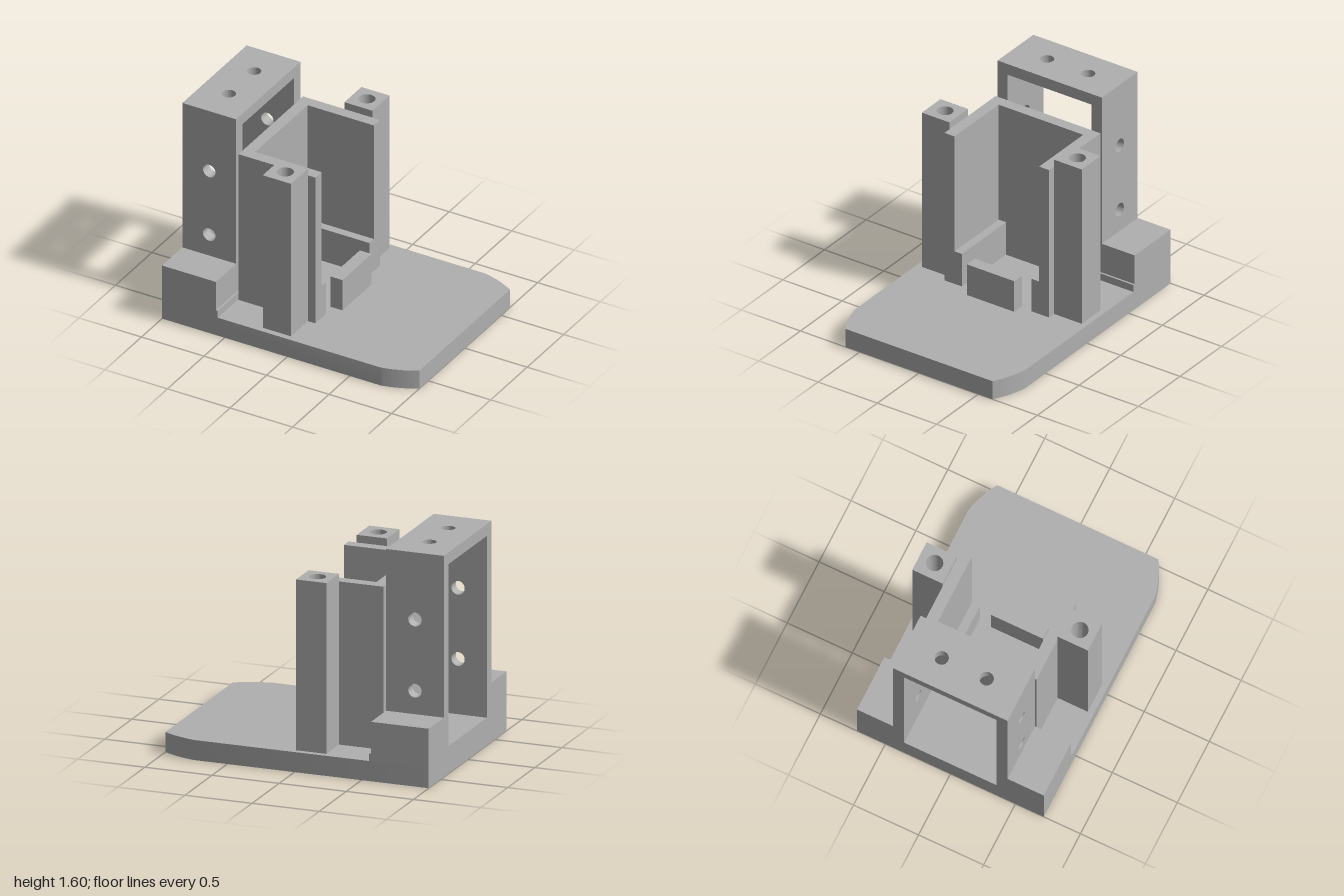
import * as THREE from 'three';
import { toCreasedNormals } from 'three/addons/utils/BufferGeometryUtils.js';

export function createModel() {
  const group = new THREE.Group();
  const grey = new THREE.MeshStandardMaterial({ color: 0xb0b0b0 });
  grey.name = 'matte grey';

  const add = (name, geometry) => {
    const mesh = new THREE.Mesh(geometry, grey);
    mesh.name = name;
    group.add(mesh);
    return mesh;
  };

  // Box given by its two extreme corners
  const block = (name, x0, x1, y0, y1, z0, z1) =>
    add(name, new THREE.BoxGeometry(x1 - x0, y1 - y0, z1 - z0))
      .position.set((x0 + x1) / 2, (y0 + y1) / 2, (z0 + z1) / 2);

  // Rectangle with round holes [x, y, radius]
  const plate = (x0, x1, y0, y1, holes = []) => {
    const s = new THREE.Shape();
    s.moveTo(x0, y0).lineTo(x1, y0).lineTo(x1, y1).lineTo(x0, y1).closePath();
    for (const [x, y, r] of holes) s.holes.push(new THREE.Path().absarc(x, y, r, 0, Math.PI * 2, true));
    return s;
  };
  const extrude = (shape, depth) => toCreasedNormals(
    new THREE.ExtrudeGeometry(shape, { depth, bevelEnabled: false, curveSegments: 20 }), 0.5);
  // Shape drawn in (x, -z), raised from y0 to y1
  const raise = (name, shape, y0, y1) =>
    add(name, extrude(shape, y1 - y0).rotateX(-Math.PI / 2).translate(0, y0, 0));

  const floor = 0.145, W = 0.718;

  // Base plate with two eased corners
  const base = new THREE.Shape();
  base.moveTo(-1, -W).lineTo(0.75, -W);
  base.quadraticCurveTo(0.885, -0.69, 1, -0.62);
  base.lineTo(1, 0.62);
  base.quadraticCurveTo(0.885, 0.69, 0.75, W);
  base.lineTo(-1, W).closePath();
  raise('basePlate', base, 0, floor);

  // Raised step under the arch
  block('archStep', -1, -0.555, floor, 0.2, -W, W);

  // Arch top with two vertical screw holes
  raise('archTop', plate(-1, -0.57, -0.44, 0.44, [[-0.785, 0.173, 0.05], [-0.785, -0.173, 0.05]]), 1.515, 1.6);

  for (const side of [-1, 1]) {
    const span = (name, x0, x1, y0, y1, a, b) =>
      block(name, x0, x1, y0, y1, Math.min(side * a, side * b), Math.max(side * a, side * b));

    // Arch wall with two screw holes
    add('archWall', extrude(plate(-1, -0.57, 0.2, 1.515, [[-0.785, 0.6, 0.05], [-0.785, 1.115, 0.05]]), 0.085))
      .position.z = side > 0 ? 0.355 : -0.44;
    span('archFoot', -1, -0.57, 0.2, 0.43, 0.44, W);

    // Holder wall and the low rail inside it
    span('holderWall', -0.465, 0.065, floor, 1.325, 0.357, 0.442);
    span('holderRail', -0.465, 0.065, floor, 0.405, 0.295, 0.357);

    // Post with a blind screw hole in its top
    span('postLower', -0.22, 0.005, floor, 0.95, 0.442, 0.675);
    const z = side * 0.5585;
    raise('postUpper', plate(-0.22, 0.005, -z - 0.1165, -z + 0.1165, [[-0.108, -z, 0.06]]), 0.95, 1.38);
  }

  // Back of the holder and the front stop
  block('holderBack', -0.55, -0.465, floor, 1.325, -0.442, 0.442);
  block('frontStop', 0.045, 0.14, floor, 0.39, -0.2, 0.2);

  return group;
}
